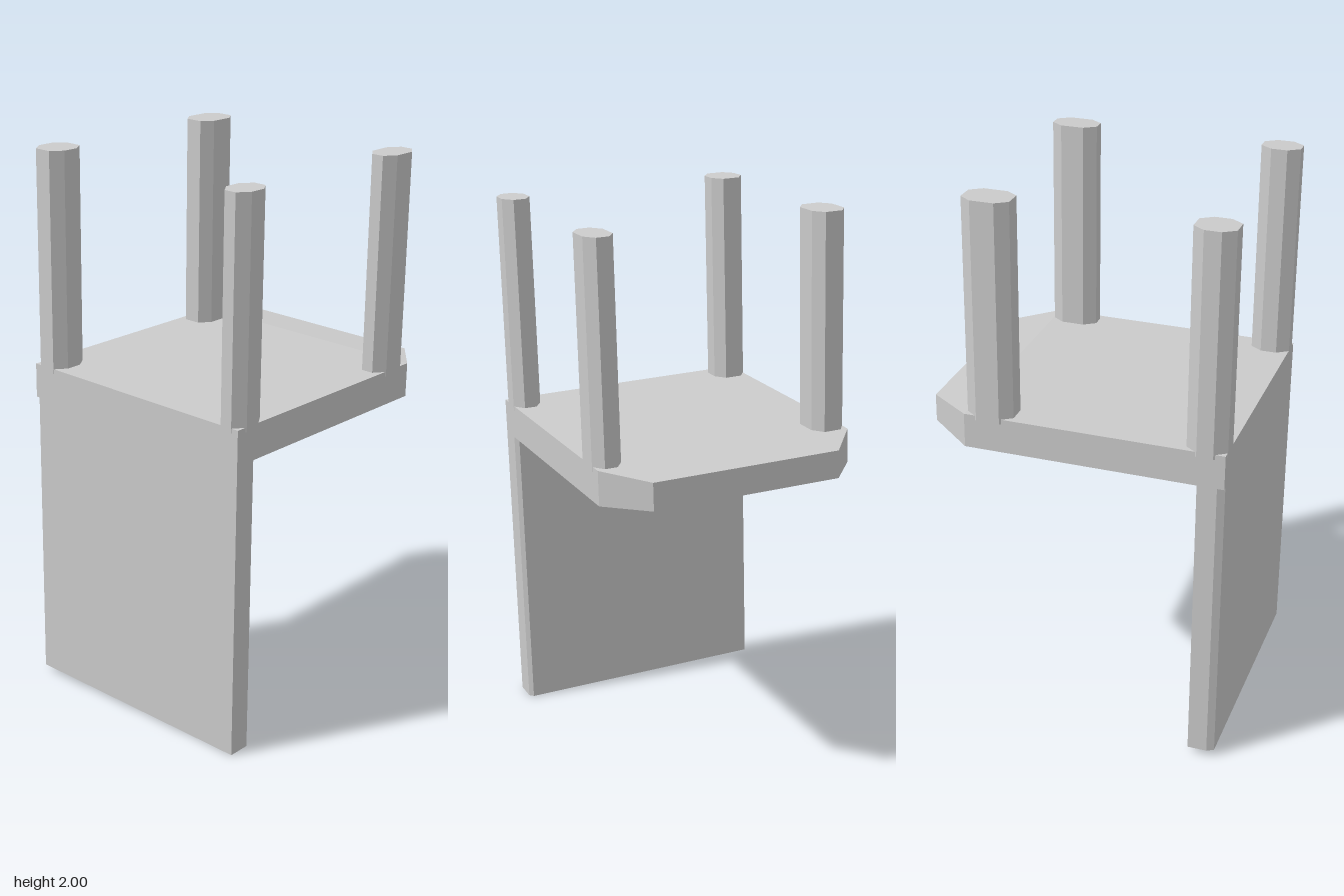
import * as THREE from 'three';

const material = new THREE.MeshStandardMaterial({ color: 0xcccccc, flatShading: true });

// Vertical prism from a plan outline of [x, z] points, between two heights
function prism(name, points, y0, y1) {
  const shape = new THREE.Shape(points.map(([x, z]) => new THREE.Vector2(x, -z)));
  const geometry = new THREE.ExtrudeGeometry(shape, { depth: y1 - y0, bevelEnabled: false });
  geometry.rotateX(-Math.PI / 2).translate(0, y0, 0);
  const mesh = new THREE.Mesh(geometry, material);
  mesh.name = name;
  return mesh;
}

// Rectangle with cut corners
function octagon(x0, x1, z0, z1, cx, cz) {
  return [
    [x0 + cx, z0], [x1 - cx, z0], [x1, z0 + cz], [x1, z1 - cz],
    [x1 - cx, z1], [x0 + cx, z1], [x0, z1 - cz], [x0, z0 + cz],
  ];
}

// Slab whose free end narrows and thins
function createSeat() {
  const width = 0.947, height = 0.125;
  const geometry = new THREE.BoxGeometry(1, height, width, 2, 1, 1);
  const p = geometry.attributes.position;
  for (let i = 0; i < p.count; i++) {
    const x = p.getX(i);
    if (x < -0.1) p.setX(i, -0.545);
    else if (x < 0.1) p.setX(i, 0.38);
    else p.setXYZ(i, 0.542, p.getY(i) * 0.8, p.getZ(i) * 0.73);
  }
  geometry.translate(0, 1.092 + height / 2, -0.0245);
  geometry.computeVertexNormals();
  const mesh = new THREE.Mesh(geometry, material);
  mesh.name = 'seat';
  return mesh;
}

export function createModel() {
  const model = new THREE.Group();
  model.name = 'upturnedChair';

  // The whole chair leans slightly as it balances on its backrest
  const chair = new THREE.Group();
  chair.name = 'chair';
  chair.rotation.x = 0.025;
  model.add(chair);

  chair.add(createSeat());

  // Backrest panel with slightly angled ends
  chair.add(prism('backrest', [
    [-0.545, -0.484], [-0.52, -0.498], [-0.45, -0.498],
    [-0.45, 0.435], [-0.465, 0.449], [-0.545, 0.449],
  ], 0.016, 1.1));

  // Four eight-sided legs pointing upward
  for (const [xName, x0, x1] of [['Right', -0.546, -0.404], ['Left', 0.208, 0.376]]) {
    for (const [zName, z0, z1] of [['back', -0.502, -0.378], ['front', 0.346, 0.451]]) {
      chair.add(prism(`${zName}${xName}Leg`, octagon(x0, x1, z0, z1, 0.042, 0.03), 1.2, 1.99));
    }
  }
  return model;
}
